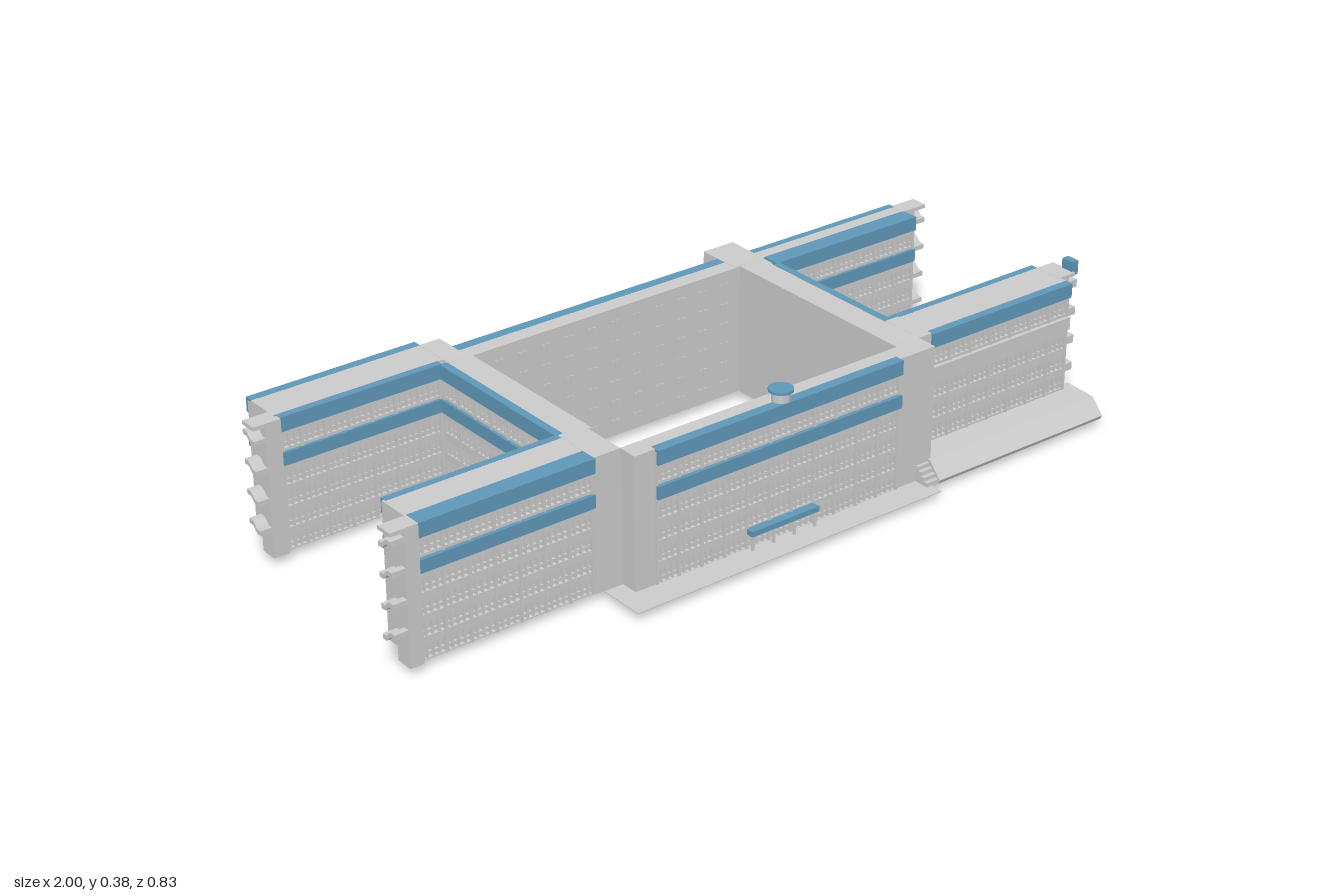
import * as THREE from 'three';
import { mergeGeometries } from 'three/addons/utils/BufferGeometryUtils.js';

const grey = new THREE.MeshStandardMaterial({ color: 0xcccccc, flatShading: true, side: THREE.DoubleSide });
const blue = new THREE.MeshStandardMaterial({ color: 0x5f97b8, flatShading: true });
const BASE = 0.02, TOP = 0.355;

// box geometry given by its limits
function slab(x0, x1, y0, y1, z0, z1) {
  return new THREE.BoxGeometry(x1 - x0, y1 - y0, z1 - z0)
    .translate((x0 + x1) / 2, (y0 + y1) / 2, (z0 + z1) / 2);
}

function add(parent, name, geo, mat = grey) {
  const mesh = new THREE.Mesh(geo, mat);
  mesh.name = name;
  parent.add(mesh);
  return mesh;
}

// profile of [z, y] points extruded along x
function alongX(points, x0, x1) {
  const shape = new THREE.Shape(points.map(([z, y]) => new THREE.Vector2(-z, y)));
  return new THREE.ExtrudeGeometry(shape, { depth: x1 - x0, bevelEnabled: false })
    .rotateY(Math.PI / 2).translate(x0, 0, 0);
}

// windowed wall: spandrels, mullions and pilasters in front of a core, plus two projecting bands
function facade(parent, name, length, x, z, angle, { out = 0.01, deep = 0.012, lowBand = blue, from = 0 } = {}) {
  const g = new THREE.Group();
  g.name = name;
  const h = length / 2, parts = [];
  const rows = [0.04, 0.093, 0.146, 0.2, 0.291].slice(from);
  let y = BASE;
  for (const c of rows) {
    parts.push(slab(-h, h, y, c - 0.017, -0.01, 0));
    parts.push(slab(-h, h, c - 0.008, c - 0.005, -0.01, -0.004));
    y = c + 0.017;
  }
  parts.push(slab(-h, h, y, 0.35, -0.01, 0));
  const bays = Math.round(length / 0.064), pitch = length / bays;
  for (let i = 0; i <= bays; i++) {
    const px = Math.min(Math.max(-h + i * pitch, -h + 0.003), h - 0.003);
    parts.push(slab(px - 0.003, px + 0.003, BASE, 0.35, -0.01, 0.003));
    if (i === bays) break;
    for (let k = 1; k < 4; k++) {
      const mx = -h + (i + k / 4) * pitch;
      parts.push(slab(mx - 0.0025, mx + 0.0025, BASE, 0.35, -0.01, -0.001));
    }
  }
  add(g, 'windowWall', mergeGeometries(parts));
  add(g, 'upperBand', slab(-h, h, 0.319, TOP, -deep, out), blue);
  add(g, 'lowerBand', slab(-h, h, 0.235, 0.267, -0.01, out), lowBand);
  g.position.set(x, 0, z);
  g.rotation.y = angle;
  parent.add(g);
}

// end pier with stepped stair parapets on each landing; side is the sign of x
function endStairs(parent, name, side, xIn, xPier, xOut, z0, z1) {
  const g = new THREE.Group();
  g.name = name;
  const span = (a, b) => [Math.min(a * side, b * side), Math.max(a * side, b * side)];
  const [p0, p1] = span(xIn, xPier), [s0, s1] = span(xIn, xOut);
  add(g, 'pier', slab(p0, p1, BASE, TOP, z0, z1));
  const w = z1 - z0, s = z0 < 0 ? 1 : -1, start = z0 < 0 ? z0 : z1;
  const at = t => start + s * t * w;
  for (const y of [0.087, 0.16, 0.235, 0.308]) {
    const line = [[0, 0.015], [0.35, 0.015], [0.7, 0], [1, 0]];
    const pts = [...line.map(([t, d]) => [at(t), y + d + 0.012]), ...line.reverse().map(([t, d]) => [at(t), y + d])];
    add(g, 'stairParapet', alongX(pts, s0, s1));
  }
  add(g, 'roofSlab', slab(s0, s1, 0.346, TOP, z0, z1));
  parent.add(g);
}

// flight of steps falling away from the building in z
function steps(parent, name, x0, x1, zTop, zEnd) {
  const n = 6, parts = [];
  for (let i = 0; i < n; i++) {
    const a = zTop, b = zTop + (zEnd - zTop) * (i + 1) / n;
    parts.push(slab(x0, x1, BASE, 0.082 - i * 0.01, Math.min(a, b), Math.max(a, b)));
  }
  add(parent, name, mergeGeometries(parts));
}

export function createModel() {
  const model = new THREE.Group();
  model.name = 'officeComplex';
  const PI = Math.PI;

  // solid cores of the blocks: name, x range, z range
  for (const [name, x0, x1, z0, z1] of [
    ['frontRightCore', -0.935, -0.41, 0.165, 0.27],
    ['frontLeftCore', 0.44, 0.935, 0.165, 0.267],
    ['backRightCore', -0.91, -0.46, -0.4, -0.3],
    ['backLeftCore', 0.45, 0.91, -0.322, -0.253],
    ['frontCentreCore', -0.41, 0.41, 0.285, 0.328],
    ['backCentreCore', -0.42, 0.38, -0.328, -0.28],
    ['rightLinkCore', -0.47, -0.4, -0.29, 0.17],
    ['leftLinkCore', 0.38, 0.452, -0.29, 0.285],
  ]) add(model, name, slab(x0, x1, BASE, 0.35, z0, z1));

  // plain towers where the blocks meet
  for (const [x0, x1, z0, z1] of [
    [-0.48, -0.41, 0.155, 0.285], [-0.41, -0.355, 0.285, 0.335],
    [0.345, 0.405, 0.285, 0.335], [0.4, 0.45, 0.265, 0.335], [0.45, 0.49, 0.165, 0.28],
    [-0.465, -0.41, -0.397, -0.28], [0.365, 0.455, -0.4, -0.28],
  ]) add(model, 'cornerTower', slab(x0, x1, BASE, TOP, z0, z1));

  // windowed walls
  facade(model, 'frontRightOuterWall', 0.45, -0.705, 0.28, 0, { deep: 0.035 });
  facade(model, 'frontRightInnerWall', 0.45, -0.705, 0.157, PI, { out: 0.006 });
  facade(model, 'frontLeftOuterWall', 0.445, 0.712, 0.277, 0, { lowBand: grey, from: 1 });
  facade(model, 'frontLeftInnerWall', 0.465, 0.7, 0.157, PI, { out: 0.006 });
  facade(model, 'backRightOuterWall', 0.445, -0.687, -0.408, PI);
  facade(model, 'backRightInnerWall', 0.43, -0.695, -0.292, 0, { out: 0.008 });
  facade(model, 'backLeftOuterWall', 0.455, 0.682, -0.33, PI, { out: 0.006, from: 1 });
  facade(model, 'backLeftInnerWall', 0.45, 0.685, -0.244, 0, { out: 0.008, deep: 0.04 });
  facade(model, 'frontCentreWall', 0.7, -0.005, 0.336, 0, { deep: 0.016 });
  facade(model, 'backCentreWall', 0.775, -0.022, -0.336, PI, { deep: 0.016 });
  facade(model, 'rightLinkWall', 0.44, -0.478, -0.065, -PI / 2, { out: 0.008 });
  facade(model, 'leftLinkWall', 0.405, 0.46, -0.035, PI / 2, { out: 0.008 });

  // roof strips over the blocks
  for (const [x0, x1, z0, z1] of [
    [-0.935, -0.41, 0.163, 0.245], [0.44, 0.935, 0.167, 0.267], [-0.91, -0.46, -0.398, -0.302],
    [0.45, 0.91, -0.32, -0.284], [-0.41, 0.41, 0.283, 0.32], [-0.42, 0.38, -0.32, -0.278],
    [-0.468, -0.4, -0.29, 0.17], [0.38, 0.45, -0.29, 0.285],
  ]) add(model, 'roof', slab(x0, x1, 0.348, 0.3545, z0, z1));

  // small windows on the courtyard walls
  const panes = [];
  for (let i = 0; i < 11; i++) for (let j = 0; j < 6; j++) {
    const x = -0.34 + i * 0.066, y = 0.04 + j * 0.052;
    for (const z of [-0.28, 0.285])
      for (const dx of [0, 0.014]) panes.push(slab(x + dx, x + dx + 0.009, y, y + 0.022, z - 0.002, z + 0.002));
  }
  add(model, 'courtyardWindows', mergeGeometries(panes));

  // open stairs at the wing ends
  endStairs(model, 'frontRightEnd', -1, 0.93, 0.965, 1, 0.245, 0.29);
  endStairs(model, 'backRightEnd', -1, 0.905, 0.945, 0.975, -0.325, -0.28);
  endStairs(model, 'backLeftEnd', 1, 0.905, 0.945, 0.98, -0.325, -0.28);
  endStairs(model, 'frontLeftEnd', 1, 0.93, 0.965, 0.985, 0.17, 0.245);
  for (const y of [0.09, 0.163, 0.238, 0.311])
    add(model, 'landing', slab(0.965, 1, y, y + 0.02, 0.2, 0.238));
  add(model, 'chimney', slab(0.98, 1, 0.345, 0.38, 0.205, 0.239), blue);

  // podiums with sloping fronts
  add(model, 'frontPodium', alongX([[0.26, BASE], [0.375, BASE], [0.38, 0.03], [0.345, 0.068], [0.26, 0.072]], 0.44, 0.968));
  add(model, 'backPodium', alongX([[-0.3, BASE], [-0.405, BASE], [-0.405, 0.027], [-0.37, 0.065], [-0.3, 0.072]], 0.455, 0.91));
  steps(model, 'frontSteps', 0.405, 0.45, 0.31, 0.375);
  steps(model, 'backSteps', 0.415, 0.46, -0.335, -0.405);

  // front pavement
  add(model, 'pavement', slab(-0.46, 0.42, BASE, 0.022, 0.29, 0.408));

  // entrance porches
  for (const [name, z0, z1] of [['frontPorch', 0.336, 0.358], ['backPorch', -0.355, -0.336]]) {
    add(model, name + 'Canopy', slab(-0.102, 0.092, 0.06, 0.073, z0, z1), blue);
    const zo = z0 > 0 ? z1 - 0.007 : z0 + 0.007;
    for (const x of [-0.095, -0.035, 0.025, 0.085])
      add(model, name + 'Post', slab(x - 0.003, x + 0.003, BASE, 0.06, zo - 0.003, zo + 0.003));
  }

  // side door steps
  add(model, 'rightDoorStep', slab(-0.512, -0.47, 0, BASE, -0.083, -0.03));
  add(model, 'leftDoorStep', slab(0.45, 0.49, 0, BASE, -0.083, -0.03));

  // round lantern on the front roof
  add(model, 'lanternDrum', new THREE.CylinderGeometry(0.022, 0.022, 0.03, 24).translate(0.004, 0.367, 0.322));
  add(model, 'lanternCap', new THREE.CylinderGeometry(0.029, 0.029, 0.006, 24).translate(0.004, 0.381, 0.322), blue);

  return model;
}
